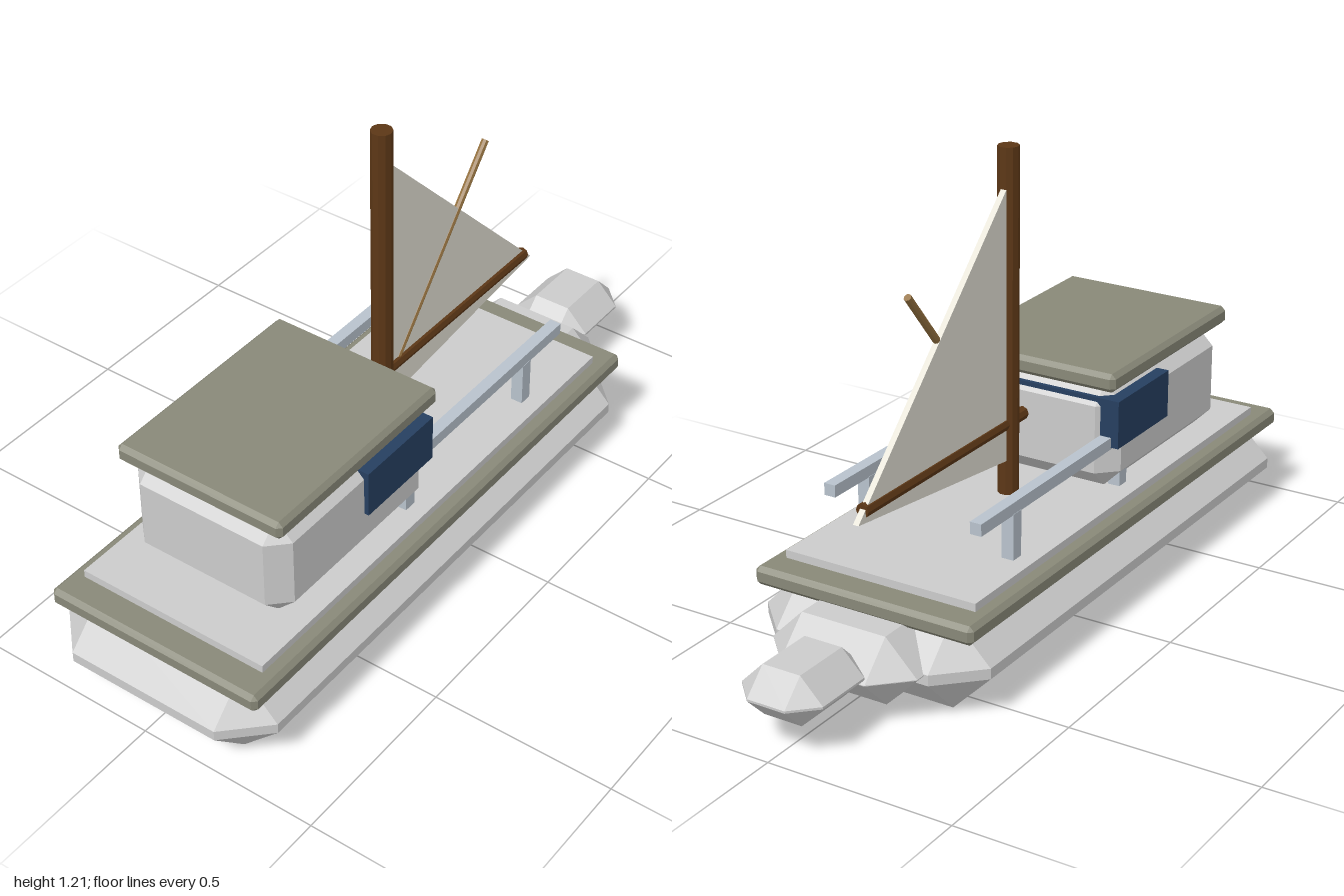
import * as THREE from 'three';
import { ConvexGeometry } from 'three/addons/geometries/ConvexGeometry.js';

const paint = (color, extra = {}) => new THREE.MeshStandardMaterial({ color, flatShading: true, ...extra });

// Box given by its [min, max] ranges, with every edge chamfered by c
function chamferBox([x0, x1], [y0, y1], [z0, z1], c) {
  const half = [(x1 - x0) / 2, (y1 - y0) / 2, (z1 - z0) / 2];
  const points = [];
  for (const sx of [-1, 1]) for (const sy of [-1, 1]) for (const sz of [-1, 1]) {
    const s = [sx, sy, sz];
    for (let axis = 0; axis < 3; axis++) {
      points.push(new THREE.Vector3(...half.map((h, i) => s[i] * (i === axis ? h : h - c))));
    }
  }
  return new ConvexGeometry(points).translate((x0 + x1) / 2, (y0 + y1) / 2, (z0 + z1) / 2);
}

function box([x0, x1], [y0, y1], [z0, z1]) {
  return new THREE.BoxGeometry(x1 - x0, y1 - y0, z1 - z0)
    .translate((x0 + x1) / 2, (y0 + y1) / 2, (z0 + z1) / 2);
}

// Straight round spar between two points
function spar(a, b, radius, sides) {
  const from = new THREE.Vector3(...a);
  const dir = new THREE.Vector3(...b).sub(from);
  const geometry = new THREE.CylinderGeometry(radius, radius, dir.length(), sides);
  geometry.translate(0, dir.length() / 2, 0);
  geometry.applyQuaternion(new THREE.Quaternion().setFromUnitVectors(new THREE.Vector3(0, 1, 0), dir.normalize()));
  return geometry.translate(from.x, from.y, from.z);
}

export function createModel() {
  const boat = new THREE.Group();
  boat.name = 'boat';
  const grey = paint(0xcccccc);
  const trim = paint(0x888878);
  const wood = paint(0x5c3716);
  const metal = paint(0xb8c2cc);
  const add = (name, geometry, material, parent = boat) => {
    const mesh = new THREE.Mesh(geometry, material);
    mesh.name = name;
    parent.add(mesh);
    return mesh;
  };

  // Hull and stepped bow
  add('hull', chamferBox([-1, 0.67], [0, 0.24], [-0.325, 0.325], 0.106), grey);
  add('bow', chamferBox([0.42, 0.785], [0.042, 0.22], [-0.208, 0.208], 0.088), grey);
  add('bowTip', chamferBox([0.715, 1], [0.08, 0.21], [-0.115, 0.115], 0.062), grey);

  // Gunwale and deck
  add('gunwale', chamferBox([-0.96, 0.63], [0.212, 0.262], [-0.314, 0.314], 0.012), trim);
  add('deck', box([-0.88, 0.55], [0.25, 0.283], [-0.274, 0.274]), grey);

  // Cabin with a window band and an overhanging roof
  add('cabin', chamferBox([-0.755, -0.155], [0.28, 0.565], [-0.235, 0.235], 0.05), grey);
  add('windowBand', box([-0.43, -0.165], [0.408, 0.537], [-0.248, 0.248]), paint(0x263f60));
  add('roof', chamferBox([-0.765, -0.14], [0.565, 0.615], [-0.246, 0.246], 0.012), trim);

  // Handrails on posts, one per side
  for (const side of [-1, 1]) {
    const rail = new THREE.Group();
    rail.name = side > 0 ? 'leftRail' : 'rightRail';
    const z = side * 0.211;
    add('bar', box([-0.39, 0.45], [0.403, 0.435], [z - 0.016, z + 0.016]), metal, rail);
    for (const x of [-0.23, 0.29]) {
      add('post', box([x - 0.018, x + 0.018], [0.28, 0.405], [z - 0.017, z + 0.017]), metal, rail);
    }
    boat.add(rail);
  }

  // Rig: mast, boom, slanted spar and sail
  add('mast', spar([-0.035, 0.27, 0], [-0.035, 1.205, 0], 0.028, 10), wood);
  add('boom', spar([-0.105, 0.477, 0], [0.61, 0.477, 0], 0.018, 8), wood);
  add('slantedSpar', spar([0.02, 0.475, 0], [0.41, 0.945, 0], 0.01, 8), paint(0x94713f));

  const sailShape = new THREE.Shape([
    new THREE.Vector2(-0.01, 0.378),
    new THREE.Vector2(0.64, 0.452),
    new THREE.Vector2(-0.01, 1.1),
  ]);
  const sail = new THREE.ExtrudeGeometry(sailShape, { depth: 0.016, bevelEnabled: false });
  add('sail', sail.translate(0, 0, -0.01), paint(0xe2dfd3, { side: THREE.DoubleSide }));

  return boat;
}
